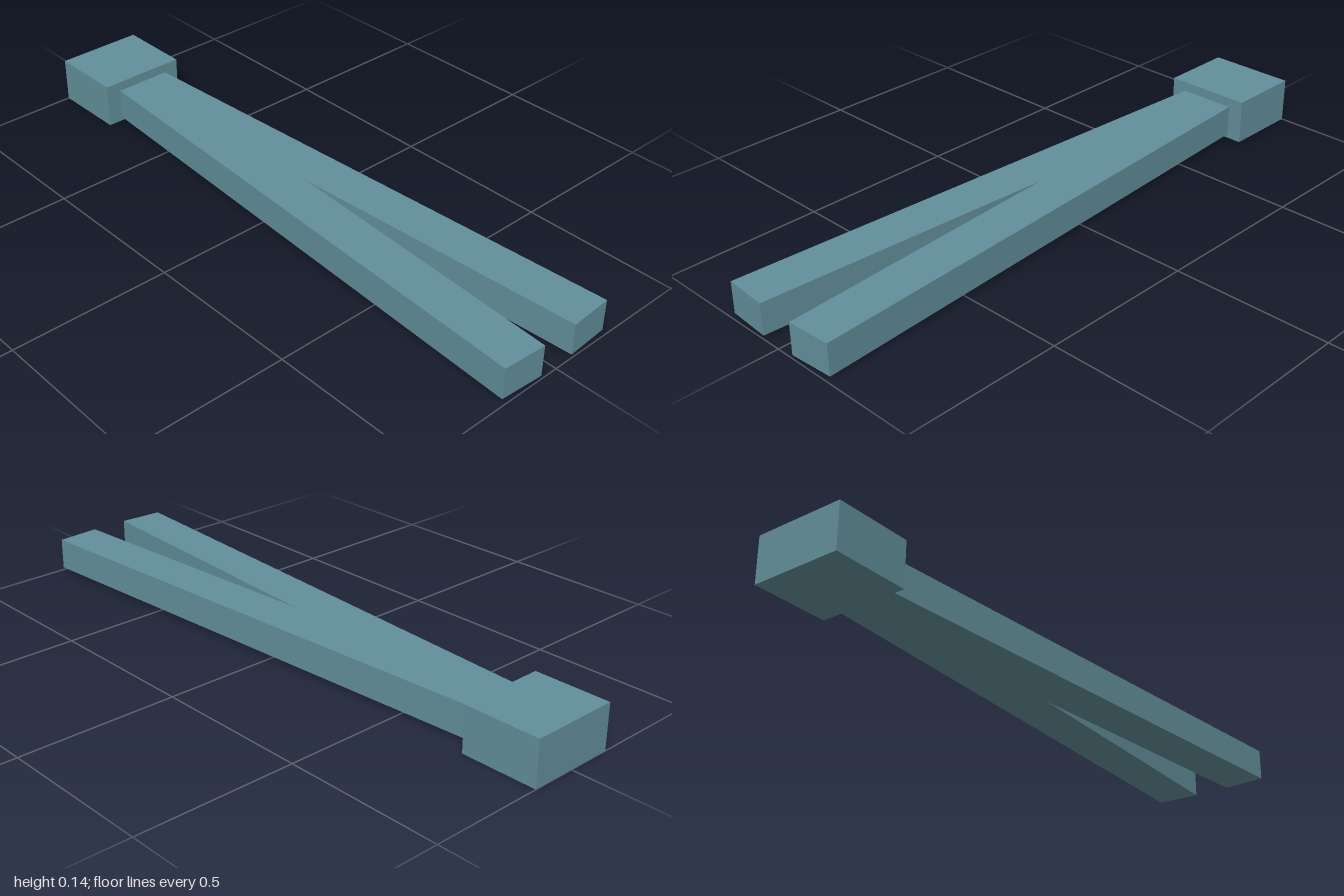
import * as THREE from 'three';

export function createModel() {
  const model = new THREE.Group();
  const slate = new THREE.MeshStandardMaterial({ color: 0x628f9a });
  slate.name = 'slateTeal';

  // Square block at the closed end
  const head = new THREE.Mesh(new THREE.BoxGeometry(0.242, 0.143, 0.284), slate);
  head.name = 'headBlock';
  head.position.set(-0.879, 0.0715, 0);
  model.add(head);

  // Two splayed arms merging into one shaft; half outline mirrored about the centre line
  const half = [[-0.77, 0.092], [0.991, 0.202], [1, 0.061]];
  const outline = [
    ...half,
    [0.037, 0],
    ...half.map(([x, z]) => [x, -z]).reverse(),
  ].map(([x, z]) => new THREE.Vector2(x, z));
  const geometry = new THREE.ExtrudeGeometry(new THREE.Shape(outline), {
    depth: 0.1,
    bevelEnabled: false,
  });
  geometry.rotateX(-Math.PI / 2);
  const arms = new THREE.Mesh(geometry, slate);
  arms.name = 'forkedArms';
  arms.position.y = 0.012;
  model.add(arms);

  return model;
}
